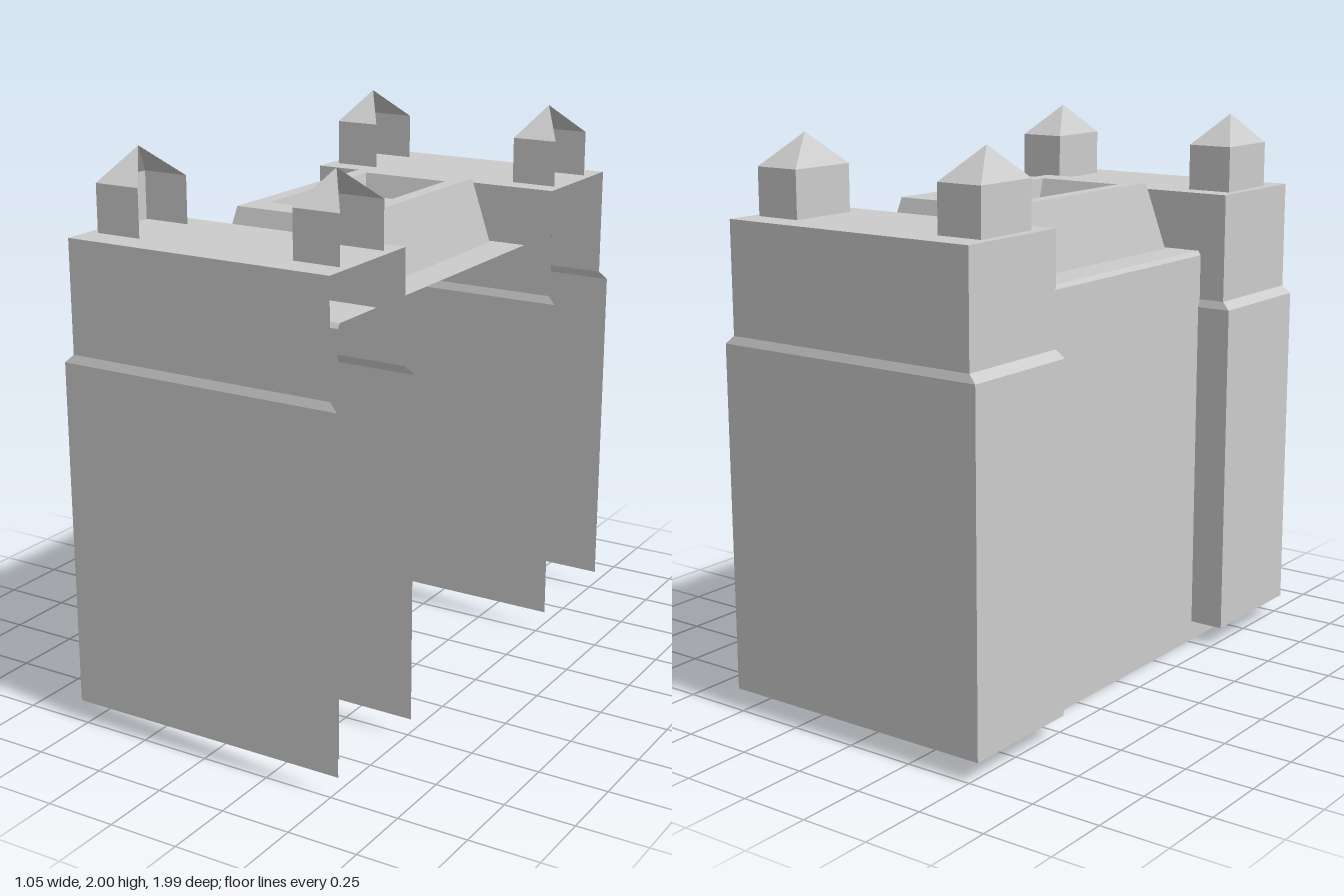
import * as THREE from 'three';

const material = new THREE.MeshStandardMaterial({
  color: 0xcccccc, flatShading: true, side: THREE.DoubleSide,
});

// Skin a stack of rectangles [y, x0, x1, z0, z1]. An open skin has no +x wall.
function skin(name, sections, { closed = false, cap = true } = {}) {
  const rings = sections.map(([y, x0, x1, z0, z1]) => [
    new THREE.Vector3(x1, y, z0), new THREE.Vector3(x0, y, z0),
    new THREE.Vector3(x0, y, z1), new THREE.Vector3(x1, y, z1),
  ]);
  const points = [];
  const triangle = (a, b, c) => {
    if (!a.equals(b) && !b.equals(c) && !c.equals(a)) points.push(a, b, c);
  };
  const quad = (a, b, c, d) => { triangle(a, b, c); triangle(a, c, d); };

  for (let r = 0; r + 1 < rings.length; r++) {
    for (let i = 0; i < (closed ? 4 : 3); i++) {
      const j = (i + 1) % 4;
      quad(rings[r][i], rings[r][j], rings[r + 1][j], rings[r + 1][i]);
    }
  }
  if (cap) quad(...rings[rings.length - 1]);

  const geometry = new THREE.BufferGeometry().setFromPoints(points);
  geometry.computeVertexNormals();
  const mesh = new THREE.Mesh(geometry, material);
  mesh.name = name;
  return mesh;
}

// Pavilion block with a sloped ledge, and two pointed turrets on its roof
function endPavilion(name, side) {
  const group = new THREE.Group();
  group.name = name;
  const span = (near, far) => (side > 0 ? [near, far] : [-far, -near]);

  group.add(skin('pavilionWalls', [
    [0.075, -0.53, 0.525, ...span(0.522, 0.993)],
    [1.305, -0.53, 0.525, ...span(0.522, 0.993)],
    [1.333, -0.5, 0.495, ...span(0.532, 0.983)],
    [1.725, -0.5, 0.495, ...span(0.532, 0.983)],
  ]));

  for (const x of [-0.38, 0.38]) {
    group.add(skin(x > 0 ? 'leftTurret' : 'rightTurret', [
      [1.63, x - 0.085, x + 0.085, ...span(0.615, 0.875)],
      [1.89, x - 0.085, x + 0.085, ...span(0.615, 0.875)],
      [2.0, x - 0.008, x - 0.008, side * 0.745, side * 0.745],
    ], { cap: false }));
  }
  return group;
}

export function createModel() {
  const model = new THREE.Group();
  model.name = 'building';

  // Main hall with a slightly bevelled roof edge
  model.add(skin('hallWalls', [
    [0, -0.4, 0.39, -0.77, 0.77],
    [1.497, -0.4, 0.39, -0.77, 0.77],
    [1.513, -0.39, 0.39, -0.758, 0.758],
  ], { cap: false }));

  // Hall roof, open beneath the skylight
  model.add(skin('hallRoof', [
    [1.513, -0.39, 0.39, -0.758, 0.758],
    [1.513, -0.262, 0.258, -0.51, 0.505],
  ], { closed: true, cap: false }));

  // Sloped roof lantern with a sunken panel
  model.add(skin('roofLantern', [
    [1.513, -0.262, 0.258, -0.51, 0.505],
    [1.762, -0.223, 0.22, -0.432, 0.427],
    [1.762, -0.167, 0.165, -0.327, 0.322],
    [1.68, -0.155, 0.162, -0.305, 0.295],
  ], { closed: true }));

  model.add(endPavilion('frontPavilion', 1), endPavilion('backPavilion', -1));
  return model;
}
